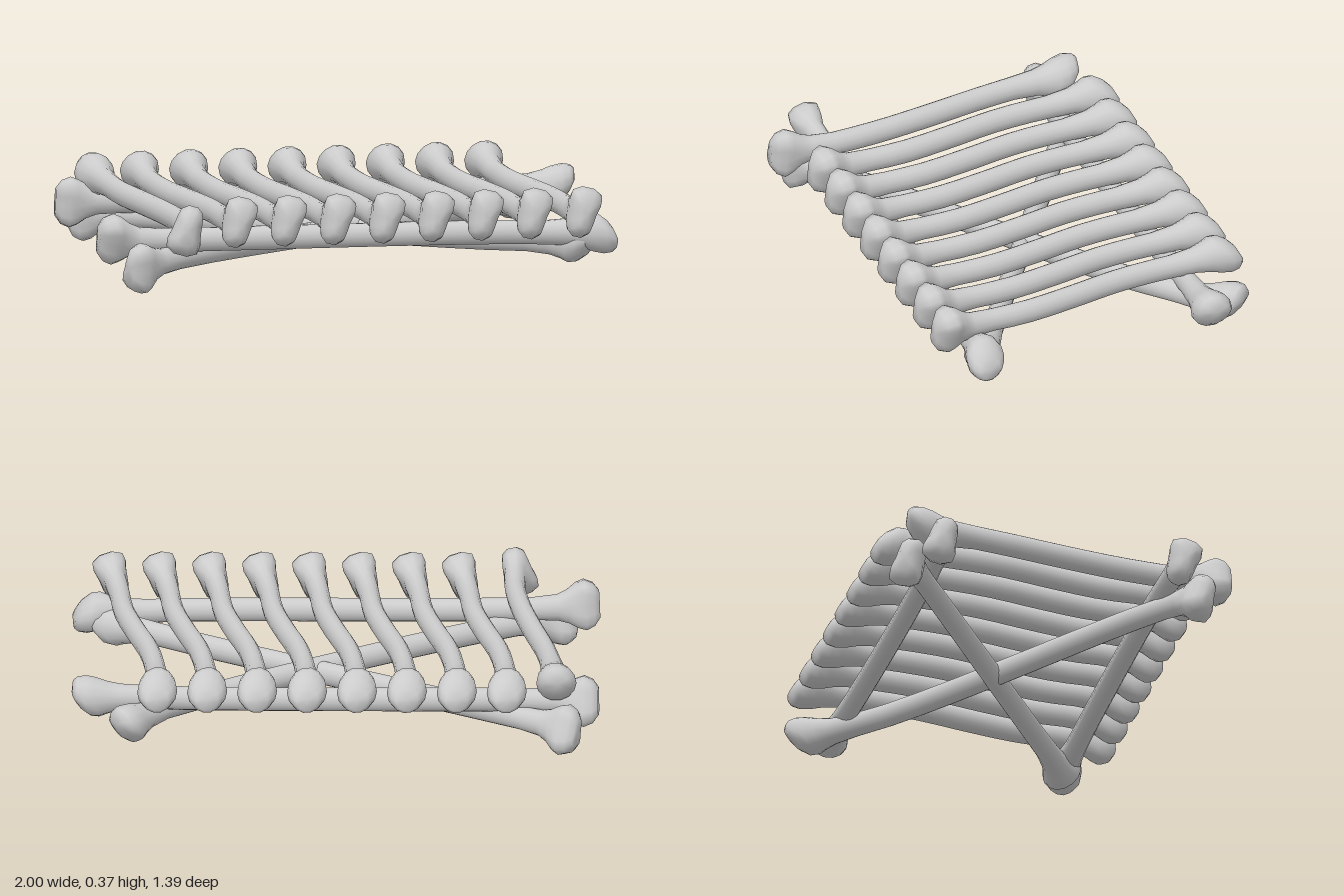
import * as THREE from 'three';

const SIDES = 14;
const v3 = (p) => new THREE.Vector3(...p);

// Head with a bevelled cap: [distance from tip, half width, half height, lift, bevel]
const HEAD = [
  [0, 0.042, 0.042, -0.004, 0.5], [0.014, 0.062, 0.062, 0.002, 0.5], [0.045, 0.076, 0.077, 0.01, 0.5],
  [0.085, 0.071, 0.075, 0.012, 0.4], [0.125, 0.059, 0.063, 0.01, 0.3], [0.18, 0.048, 0.052, 0.006, 0.15],
  [0.28, 0.041, 0.046, 0, 0],
];
// Two-lobed foot: [distance from tip, half width, half height, lift, waist pinch, tilt]
const FOOT = [
  [0.25, 0.039, 0.045, 0, 0, 0], [0.16, 0.042, 0.051, 0, 0, 0.08], [0.12, 0.05, 0.066, 0.002, 0.15, 0.2],
  [0.085, 0.08, 0.089, 0.004, 0.35, 0.27], [0.055, 0.1, 0.099, 0.004, 0.45, 0.27],
  [0.022, 0.086, 0.085, 0.004, 0.48, 0.27], [0, 0.048, 0.055, 0.004, 0.45, 0.27],
];

// A bone lofted along a path that runs from head to foot
function bone(name, points, roll = 0) {
  const curve = new THREE.CatmullRomCurve3(points.map(v3), false, 'centripetal');
  const len = curve.getLength();
  const rings = HEAD.map(([d, ru, rv, lift, bevel]) => [d, ru, rv, lift, 0, 0, bevel]);
  for (let i = 1; i < 10; i++) {
    rings.push([THREE.MathUtils.lerp(0.28, len - 0.25, i / 10), 0.039, 0.046, 0, 0, 0, 0]);
  }
  FOOT.forEach(([d, ...r]) => rings.push([len - d, ...r, 0]));

  const pos = [], index = [];
  const up = new THREE.Vector3(0, 1, 0);
  for (const [d, ru, rv, lift, pinch, tilt, bevel] of rings) {
    const c = curve.getPointAt(d / len), t = curve.getTangentAt(d / len);
    const u = up.clone().cross(t).normalize().applyAxisAngle(t, roll);
    const v = t.clone().cross(u);
    c.addScaledVector(v, lift);
    u.applyAxisAngle(t, -tilt);
    v.applyAxisAngle(t, -tilt);
    for (let j = 0; j < SIDES; j++) {
      const a = (j / SIDES) * Math.PI * 2, cs = Math.cos(a), sn = Math.sin(a);
      const waist = 1 - pinch * cs * cs + pinch * 0.4 * sn;
      const p = c.clone().addScaledVector(u, ru * cs * waist).addScaledVector(v, rv * sn);
      // The cap slopes back on its upper half and on one side
      p.addScaledVector(t, bevel * (rv * Math.max(0, sn) + 0.5 * ru * Math.max(0, -cs)));
      pos.push(p.x, p.y, p.z);
    }
  }
  for (let i = 0; i < rings.length - 1; i++) {
    for (let j = 0; j < SIDES; j++) {
      const k = (j + 1) % SIDES, a = i * SIDES, b = a + SIDES;
      index.push(a + j, a + k, b + k, a + j, b + k, b + j);
    }
  }
  // End caps
  const n = rings.length * SIDES, last = n - SIDES;
  const p0 = curve.getPointAt(0), p1 = curve.getPointAt(1);
  pos.push(p0.x, p0.y, p0.z, p1.x, p1.y, p1.z);
  for (let j = 0; j < SIDES; j++) {
    const k = (j + 1) % SIDES;
    index.push(n, k, j, n + 1, last + j, last + k);
  }
  const geo = new THREE.BufferGeometry();
  geo.setAttribute('position', new THREE.Float32BufferAttribute(pos, 3));
  geo.setIndex(index);
  geo.computeVertexNormals();
  const mesh = new THREE.Mesh(geo, new THREE.MeshStandardMaterial({ color: 0xcccccc }));
  mesh.name = name;
  return mesh;
}

export function createModel() {
  const group = new THREE.Group();
  group.name = 'boneRaft';

  // Row of matching curved slats
  for (let i = 0; i < 8; i++) {
    const x = -0.652 + i * 0.1895;
    group.add(bone('slat' + (i + 2), [
      [x, 0.268, -0.694], [x + 0.003, 0.264, -0.45], [x + 0.03, 0.261, -0.2], [x + 0.088, 0.259, 0.03],
      [x + 0.13, 0.258, 0.22], [x + 0.15, 0.26, 0.42], [x + 0.184, 0.266, 0.61],
    ]));
  }

  // Odd end slat, rolled over and shifted forward
  group.add(bone('slat1', [
    [-0.845, 0.298, -0.61], [-0.825, 0.275, -0.4], [-0.8, 0.264, -0.2], [-0.745, 0.26, 0.05],
    [-0.7, 0.258, 0.28], [-0.678, 0.258, 0.5], [-0.697, 0.261, 0.692],
  ], Math.PI));

  // Rails under the slats
  group.add(bone('backRail', [[1, 0.215, -0.485], [0.7, 0.19, -0.478], [-0.7, 0.182, -0.478], [-1, 0.19, -0.5]], Math.PI));
  group.add(bone('frontRail', [[1, 0.15, 0.435], [0.7, 0.175, 0.432], [-0.7, 0.186, 0.427], [-1, 0.195, 0.45]]));

  // Crossed braces at the bottom
  group.add(bone('braceA', [[0.92, 0.145, 0.445], [0.6, 0.125, 0.265], [-0.556, 0.122, -0.42], [-0.92, 0.115, -0.635]], Math.PI));
  group.add(bone('braceB', [[0.83, 0.148, -0.66], [0.62, 0.135, -0.425], [-0.6, 0.124, 0.38], [-0.9, 0.1, 0.56]], Math.PI));

  // Rest on the ground
  const box = new THREE.Box3().setFromObject(group);
  group.children.forEach((m) => m.geometry.translate(0, -box.min.y, 0));
  return group;
}
